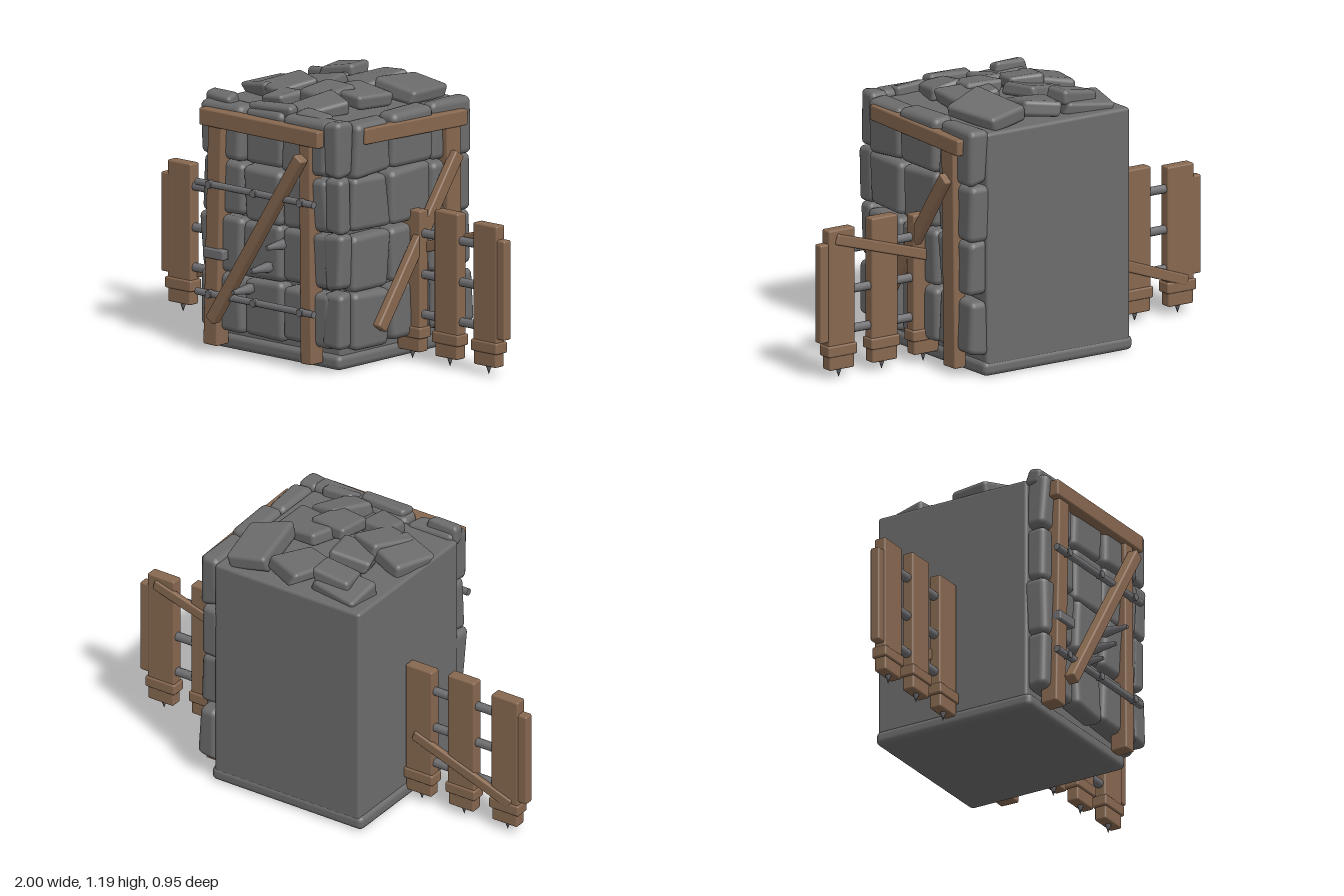
import * as THREE from 'three';
import { RoundedBoxGeometry } from 'three/addons/geometries/RoundedBoxGeometry.js';

const mat = (name, color) => new THREE.MeshStandardMaterial({ name, color });

export function createModel() {
  const model = new THREE.Group();
  model.name = 'stoneTower';
  const stone = mat('stone grey', 0x6c6c6c);
  const wood = mat('wood brown', 0x876850);
  const iron = mat('iron grey', 0x707073);

  let seed = 7;
  const rand = () => {
    seed = (seed * 16807) % 2147483647;
    return seed / 2147483647 - 0.5;
  };

  function group(parent, name) {
    const g = new THREE.Group();
    g.name = name;
    parent.add(g);
    return g;
  }

  function add(parent, name, geo, material, x, y, z) {
    const m = new THREE.Mesh(geo, material);
    m.name = name;
    m.position.set(x, y, z);
    parent.add(m);
    return m;
  }

  const block = (parent, name, material, w, h, d, x, y, z, r = 0.008) =>
    add(parent, name, new RoundedBoxGeometry(w, h, d, 2, r), material, x, y, z);

  // Rough stone: rounded box whose eight corners are each pushed a little
  function rock(parent, name, w, h, d, x, y, z, rough = 0.02) {
    const geo = new RoundedBoxGeometry(w, h, d, 2, Math.min(w, h, d) * 0.28);
    const offsets = Array.from({ length: 8 }, () =>
      new THREE.Vector3(rand(), rand(), rand()).multiplyScalar(rough));
    const p = geo.attributes.position;
    const v = new THREE.Vector3();
    for (let i = 0; i < p.count; i++) {
      v.fromBufferAttribute(p, i);
      const t = [v.x / w + 0.5, v.y / h + 0.5, v.z / d + 0.5];
      offsets.forEach((o, c) => {
        const k = t.reduce((s, f, a) => s * ((c >> a) & 1 ? f : 1 - f), 1);
        v.addScaledVector(o, k);
      });
      p.setXYZ(i, v.x, v.y, v.z);
    }
    return add(parent, name, geo, stone, x, y, z);
  }

  // Plank running between two points of an upright plane
  function plank(parent, name, x0, y0, x1, y1, width, depth, z) {
    const m = block(parent, name, wood, Math.hypot(x1 - x0, y1 - y0), width, depth,
      (x0 + x1) / 2, (y0 + y1) / 2, z);
    m.rotation.z = Math.atan2(y1 - y0, x1 - x0);
    return m;
  }

  function rod(parent, name, x0, x1, y, z, r) {
    const m = add(parent, name, new THREE.CylinderGeometry(r, r, x1 - x0, 8), iron, (x0 + x1) / 2, y, z);
    m.rotation.z = Math.PI / 2;
    return m;
  }

  // Plain core and base slab
  block(model, 'core', stone, 0.75, 1.05, 0.75, 0, 0.55, -0.09, 0.015);
  block(model, 'baseSlab', stone, 0.78, 0.065, 0.78, 0, 0.0335, -0.08, 0.025);

  // Stone courses; each wall is laid in local coordinates and then turned
  const rows = [[0.1, 0.345], [0.355, 0.595], [0.605, 0.845], [0.85, 1.09]];
  function courses(parent, columns, z, depth) {
    for (const [y0, y1] of rows) {
      for (const [x0, x1] of columns) {
        rock(parent, 'wallStone', x1 - x0, y1 - y0, depth,
          (x0 + x1) / 2, (y0 + y1) / 2, z + rand() * 0.012, 0.025);
      }
    }
  }

  // Front wall
  const front = group(model, 'frontWall');
  courses(front, [[-0.365, -0.125], [-0.115, 0.105], [0.115, 0.38]], 0.32, 0.1);
  plank(front, 'leftPost', -0.28, 0.03, -0.252, 1.0, 0.08, 0.08, 0.36);
  plank(front, 'rightPost', 0.278, 0.03, 0.268, 1.0, 0.065, 0.08, 0.36);
  plank(front, 'topBeam', -0.33, 1.027, 0.36, 1.025, 0.075, 0.06, 0.385);
  plank(front, 'brace', -0.24, 0.15, 0.275, 0.94, 0.052, 0.05, 0.425);
  for (const y of [0.74, 0.26]) {
    rod(front, 'ironBar', -0.34, 0.34, y, 0.415, 0.016);
    for (const x of [-0.26, 0, 0.27]) {
      const bolt = add(front, 'bolt', new THREE.CylinderGeometry(0.018, 0.018, 0.03, 6), iron, x, y, 0.42);
      bolt.rotation.x = Math.PI / 2;
    }
  }
  block(front, 'ironClamp', iron, 0.12, 0.045, 0.04, -0.25, 0.435, 0.395);
  for (const [x, y] of [[0.125, 0.53], [0.035, 0.415], [-0.07, 0.305]]) {
    const spike = add(front, 'wallSpike', new THREE.CylinderGeometry(0.01, 0.028, 0.13, 5), iron, x, y, 0.415);
    spike.rotation.x = Math.PI / 2;
  }

  // Side wall: local x runs to the back, local z points outward
  const side = group(model, 'leftWall');
  side.rotation.y = Math.PI / 2;
  courses(side, [[-0.29, -0.06], [-0.045, 0.2], [0.21, 0.46]], 0.41, 0.1);
  plank(side, 'post', 0.33, 0.03, 0.315, 1.0, 0.088, 0.06, 0.45);
  plank(side, 'topBeam', -0.245, 1.032, 0.4, 1.012, 0.07, 0.05, 0.46);
  plank(side, 'brace', -0.165, 0.18, 0.325, 0.87, 0.06, 0.04, 0.49);

  // Narrow stones at the shared corner
  for (const [y0, y1] of rows) {
    rock(model, 'cornerStone', 0.1, y1 - y0, 0.09, 0.4, (y0 + y1) / 2 + 0.01, 0.328, 0.02);
  }

  // Loose roof slabs: width, depth, x, y, z, turn, tilt forward, tilt sideways
  const roof = group(model, 'roof');
  const slabs = [
    [0.24, 0.16, -0.21, 1.1, -0.34, -0.1, -0.1, 0.1],
    [0.18, 0.13, -0.17, 1.13, -0.33, 0.15, 0, 0.1],
    [0.18, 0.25, 0.03, 1.11, -0.31, -0.3, 0.1, 0.1],
    [0.2, 0.28, 0.26, 1.12, -0.29, 0.2, -0.1, -0.12],
    [0.18, 0.19, -0.11, 1.12, -0.11, 0.25, 0.1, 0.15],
    [0.19, 0.2, -0.27, 1.1, 0.01, -0.25, 0.05, 0.15],
    [0.16, 0.22, -0.16, 1.12, 0.04, -0.3, 0.12, 0.05],
    [0.23, 0.19, 0.17, 1.12, -0.05, -0.15, 0, -0.12],
    [0.18, 0.19, 0.07, 1.13, 0.05, -0.1, 0.05, 0],
    [0.15, 0.13, -0.07, 1.1, 0.17, -0.1, 0.12, 0],
    [0.16, 0.24, 0.16, 1.1, 0.19, -0.3, 0.12, -0.08],
    [0.23, 0.07, 0.02, 1.09, 0.32, 0.05, 0.15, 0],
    [0.16, 0.07, -0.29, 1.09, 0.31, 0, 0.1, 0.05],
    [0.15, 0.07, 0.24, 1.08, 0.31, 0, 0.1, 0],
  ];
  for (const [w, d, x, y, z, turn, rx, rz] of slabs) {
    rock(roof, 'roofSlab', w, 0.065, d, x, y, z, 0.03).rotation.set(rx, turn, rz);
  }

  // Picket fence on each side
  for (const s of [1, -1]) {
    const fence = group(model, s > 0 ? 'leftFence' : 'rightFence');
    const z = -0.092;
    for (const [x, top] of [[0.445, 0.66], [0.663, 0.68], [0.888, 0.66]]) {
      const px = x * s;
      block(fence, 'picket', wood, 0.137, top - 0.14, 0.055, px, (top + 0.14) / 2, z);
      block(fence, 'picketCollar', wood, 0.152, 0.05, 0.072, px, 0.125, z);
      block(fence, 'picketFoot', wood, 0.13, 0.07, 0.056, px, 0.075, z);
      const tip = add(fence, 'picketSpike', new THREE.ConeGeometry(0.02, 0.06, 8), iron, px, 0.03, z);
      tip.rotation.x = Math.PI;
    }
    block(fence, 'endBoard', wood, 0.08, 0.435, 0.045, 0.958 * s, 0.383, z);
    for (const y of [0.56, 0.38, 0.205]) {
      rod(fence, 'fenceRail', s > 0 ? 0.37 : -0.92, s > 0 ? 0.92 : -0.37, y, z, 0.02);
    }
    const [y0, y1] = s > 0 ? [0.47, 0.62] : [0.325, 0.145];
    plank(fence, 'fenceBrace', 0.42 * s, y0, 0.92 * s, y1, 0.048, 0.025, -0.117);
  }

  return model;
}
